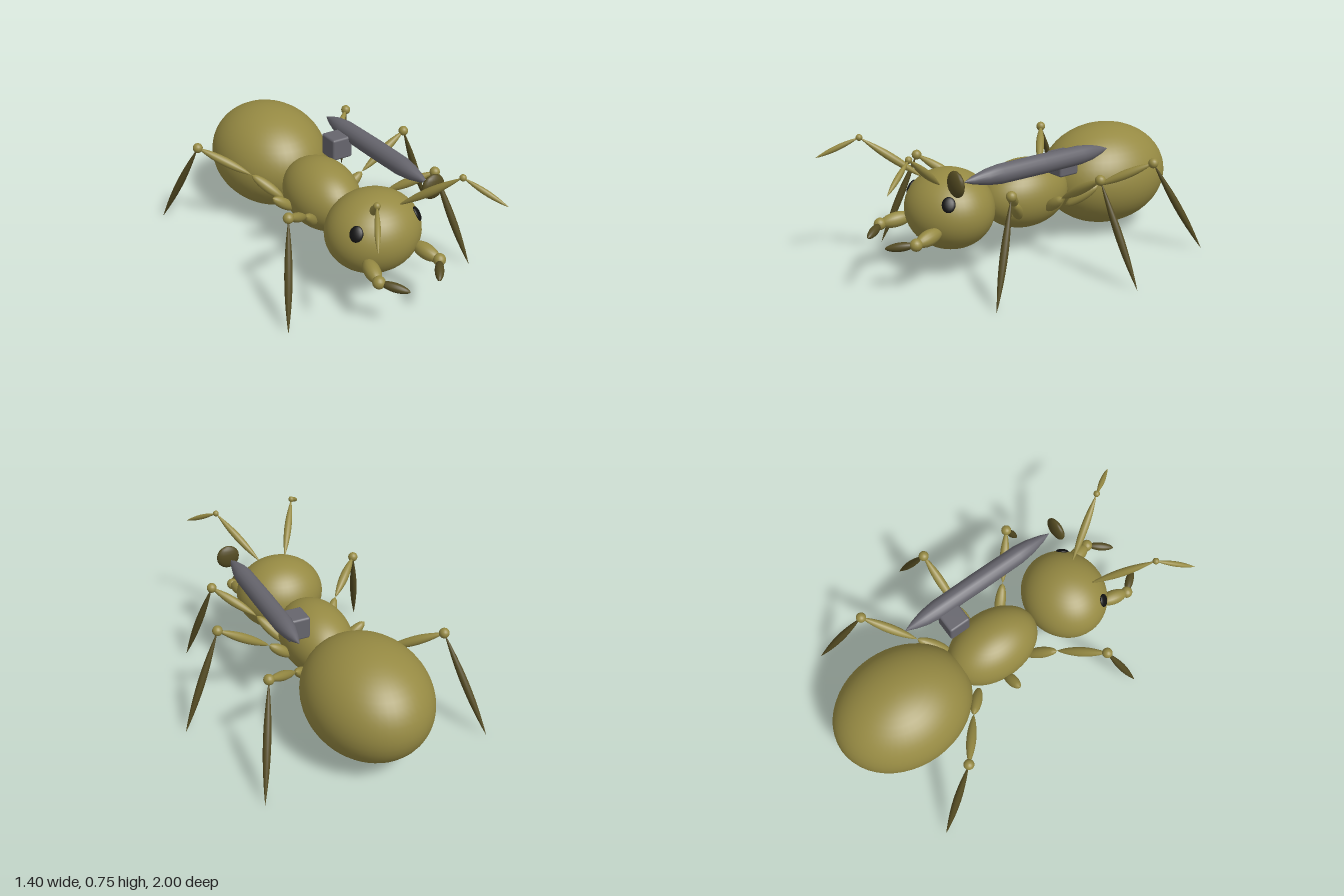
import * as THREE from 'three';
import { RoundedBoxGeometry } from 'three/addons/geometries/RoundedBoxGeometry.js';

const AXIS = -0.087; // the body's mirror plane

export function createModel() {
  const model = new THREE.Group();
  model.name = 'ant';
  const mat = (name, color) => {
    const m = new THREE.MeshStandardMaterial({ color });
    m.name = name;
    return m;
  };
  const olive = mat('olive', 0x968a43);
  const darkOlive = mat('dark olive', 0x544b22);
  const grey = mat('gunmetal', 0x66656d);
  const black = mat('black', 0x111111);

  const add = (name, geometry, material, parent = model) => {
    const mesh = new THREE.Mesh(geometry, material);
    mesh.name = name;
    parent.add(mesh);
    return mesh;
  };
  const ellipsoid = (name, material, pos, radii, parent, seg = 48) => {
    const mesh = add(name, new THREE.SphereGeometry(1, seg, seg / 2), material, parent);
    mesh.position.set(...pos);
    mesh.scale.set(...radii);
    return mesh;
  };
  // Limb segment between two points; a higher power gives sharper ends
  const spindle = (name, material, a, b, r, power, parent) => {
    const from = new THREE.Vector3(...a), to = new THREE.Vector3(...b);
    const dir = to.clone().sub(from), length = dir.length();
    const profile = [];
    for (let i = 0; i <= 14; i++) {
      const t = i / 14;
      const w = i === 0 || i === 14 ? 0 : Math.pow(Math.sin(Math.PI * t), power);
      profile.push(new THREE.Vector2(r * w, length * t));
    }
    const mesh = add(name, new THREE.LatheGeometry(profile, 16), material, parent);
    mesh.position.copy(from);
    mesh.quaternion.setFromUnitVectors(new THREE.Vector3(0, 1, 0), dir.normalize());
    return mesh;
  };

  // Body
  ellipsoid('abdomen', olive, [AXIS, 0.337, -0.615], [0.315, 0.289, 0.385]);
  ellipsoid('thorax', olive, [AXIS, 0.335, -0.035], [0.186, 0.19, 0.267]);
  ellipsoid('head', olive, [AXIS, 0.355, 0.448], [0.249, 0.209, 0.226]);

  // Leg joints on one side, x measured from the mirror plane
  const legs = [
    { name: 'frontLeg', hip: [0.12, 0.25, 0.09], thigh: [0.24, 0.385, 0.21], knee: [0.432, 0.52, 0.375], foot: [0.552, 0.01, 0.557] },
    { name: 'middleLeg', hip: [0.15, 0.27, -0.065], thigh: [0.28, 0.37, -0.065], knee: [0.562, 0.542, -0.075], foot: [0.787, 0.01, -0.137] },
    { name: 'rearLeg', hip: [0.13, 0.25, -0.22], thigh: [0.255, 0.375, -0.345], knee: [0.477, 0.52, -0.533], foot: [0.617, 0.01, -0.797] },
  ];

  for (const [side, s] of [['left', 1], ['right', -1]]) {
    const at = ([x, y, z]) => [AXIS + s * x, y, z];

    // Legs; the right middle one ends at its hip
    for (const { name, hip, thigh, knee, foot } of legs) {
      const leg = new THREE.Group();
      leg.name = side + name[0].toUpperCase() + name.slice(1);
      model.add(leg);
      spindle('hip', olive, at(hip), at(thigh), 0.03, 0.5, leg);
      if (side === 'right' && name === 'middleLeg') continue;
      spindle('thigh', olive, at(thigh), at(knee), 0.025, 0.75, leg);
      ellipsoid('knee', olive, at(knee), [0.027, 0.027, 0.027], leg, 20);
      spindle('shin', darkOlive, at(knee), at(foot), 0.02, 0.9, leg);
    }

    // Antenna
    const antenna = new THREE.Group();
    antenna.name = side + 'Antenna';
    model.add(antenna);
    const elbow = at([0.238, 0.738, 0.812]);
    spindle('antennaBase', olive, at([0.075, 0.515, 0.545]), elbow, 0.021, 0.9, antenna);
    ellipsoid('antennaJoint', olive, elbow, [0.017, 0.017, 0.017], antenna, 16);
    spindle('antennaTip', olive, elbow, at([0.358, 0.637, 0.997]), 0.014, 0.8, antenna);

    // Jaw
    const jaw = new THREE.Group();
    jaw.name = side + 'Jaw';
    model.add(jaw);
    const hinge = at([0.177, 0.285, 0.757]);
    spindle('jawBase', olive, at([0.14, 0.305, 0.59]), hinge, 0.04, 0.5, jaw);
    ellipsoid('jawJoint', olive, hinge, [0.032, 0.032, 0.032], jaw, 20);
    spindle('mandible', darkOlive, hinge, at([0.083, 0.265, 0.878]), 0.023, 0.6, jaw);

    // Eye, flattened against the head
    const eye = ellipsoid(side + 'Eye', black, at([0.178, 0.447, 0.567]), [0.034, 0.04, 0.013], model, 20);
    eye.lookAt(...at([0.178 + 0.285, 0.447 + 0.2, 0.567 + 0.235]));
  }

  // Shoulder-mounted tube, tapered to a point at both ends
  const profile = [[0, -0.4], [0.022, -0.345], [0.04, -0.28], [0.05, -0.2], [0.052, 0.06],
    [0.05, 0.32], [0.04, 0.4], [0.02, 0.48], [0, 0.53]].map(([r, y]) => new THREE.Vector2(r, y));
  const tube = add('launcherTube', new THREE.LatheGeometry(profile, 16), grey);
  tube.rotation.x = Math.PI / 2;
  tube.position.set(0.173, 0.577, 0);

  const mount = add('launcherMount', new RoundedBoxGeometry(0.122, 0.122, 0.122, 2, 0.012), grey);
  mount.position.set(0.088, 0.524, -0.155);

  ellipsoid('launcherDisc', darkOlive, [0.173, 0.577, 0.575], [0.066, 0.066, 0.026], model, 20);

  return model;
}
